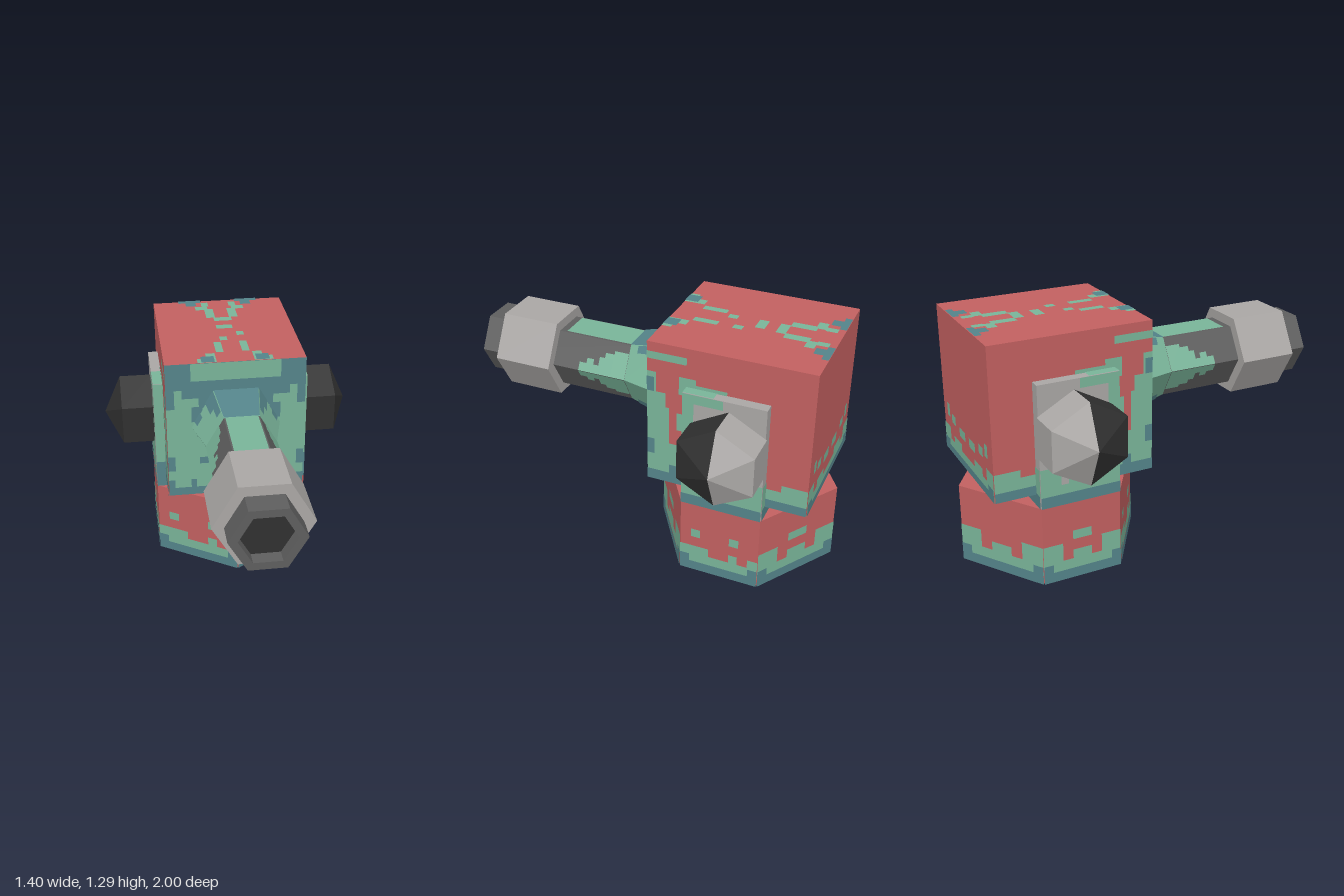
import * as THREE from 'three';

const mat = (name, color) => {
  const m = new THREE.MeshStandardMaterial({ color });
  m.name = name;
  return m;
};
const V = (x, y, z) => new THREE.Vector3(x, y, z);

export function createModel() {
  const root = new THREE.Group();
  root.name = 'turret';
  const red = mat('red paint', 0xc26060), green = mat('green paint', 0x79b499);
  const blue = mat('blue paint', 0x54848a), grey = mat('light metal', 0xaaa7a5);
  const steel = mat('barrel metal', 0x5e5e5e), black = mat('dark metal', 0x303030);
  const slate = mat('underside slate', 0x64687a);

  // Flat-faced mesh
  const add = (name, geo, material) => {
    const g = geo.index ? geo.toNonIndexed() : geo;
    g.computeVertexNormals();
    const mesh = new THREE.Mesh(g, material);
    mesh.name = name;
    root.add(mesh);
    return mesh;
  };

  // Paint patches on a four-cornered face: corners run u0v0, u1v0, u1v1, u0v1;
  // each rect is [u0, v0, u1, v1] in the given range
  const paint = (name, material, c, range, rects, flip = false) => {
    const [ru, rv, su, sv] = range;
    const n = c[1].clone().sub(c[0]).cross(c[3].clone().sub(c[0])).normalize();
    n.multiplyScalar((flip ? -1 : 1) * (material === blue ? 0.005 : 0.003));
    const at = (u, v) => {
      const s = (u - ru) / (su - ru), t = (v - rv) / (sv - rv);
      const low = c[0].clone().lerp(c[1], s), high = c[3].clone().lerp(c[2], s);
      return low.lerp(high, t).add(n);
    };
    const pos = [];
    for (const [a, b, d, e] of rects) {
      const q = [at(a, b), at(d, b), at(d, e), at(a, e)];
      for (const i of flip ? [0, 2, 1, 0, 3, 2] : [0, 1, 2, 0, 2, 3]) pos.push(...q[i].toArray());
    }
    const g = new THREE.BufferGeometry();
    g.setAttribute('position', new THREE.Float32BufferAttribute(pos, 3));
    add(name, g, material);
  };
  const mirror = (rects) => [...rects, ...rects.map(([a, b, c, d]) => [-c, b, -a, d])];

  // Hexagonal base
  const hex = [[0, .495], [.43, .215], [.43, -.215], [0, -.495], [-.43, -.215], [-.43, .215]];
  const hexShape = new THREE.Shape(hex.map(([x, z]) => new THREE.Vector2(x, -z)));
  const baseGeo = new THREE.ExtrudeGeometry(hexShape, { depth: .427, bevelEnabled: false });
  add('base', baseGeo.rotateX(-Math.PI / 2).translate(0, .004, -.505), red);
  add('baseUnderside', new THREE.ShapeGeometry(hexShape).rotateX(Math.PI / 2).translate(0, 0, -.505), slate);
  hex.forEach(([x, z], i) => {
    const [x2, z2] = hex[(i + 1) % 6];
    const c = [V(x, 0, z - .505), V(x2, 0, z2 - .505), V(x2, .43, z2 - .505), V(x, .43, z - .505)];
    const even = i % 2 === 0 || i === 3;
    const rects = even
      ? [[0, .05, 1, .11], [0, .11, .25, .21], [.75, .11, 1, .21], [.38, .11, .62, .16]]
      : [[0, .05, 1, .11], [0, .11, .37, .16], [.63, .11, .74, .16], [.87, .11, 1, .16]];
    if (i !== 3) rects.push(...(even ? [[.38, .22, .62, .27]] : [[.14, .22, .26, .27], [.63, .22, .75, .27]]));
    paint('baseGreenPaint', green, c, [0, 0, 1, .43], rects);
    paint('baseBluePaint', blue, c, [0, 0, 1, .43],
      [[0, 0, 1, .055], [0, .055, .12, .1], [.88, .055, 1, .1]]);
  });

  // Cross block carrying the side caps
  const blockGeo = new THREE.BoxGeometry(.86, .65, .43).translate(0, .755, -.505);
  add('crossBlock', blockGeo, [grey, grey, grey, blue, green, grey]);
  paint('blockFrontBlue', blue, [V(-.43, .43, -.29), V(.43, .43, -.29), V(.43, 1.08, -.29), V(-.43, 1.08, -.29)],
    [-.43, .43, .43, 1.08], [[-.43, .43, .43, .59]]);
  const blockBack = [V(.43, .43, -.72), V(-.43, .43, -.72), V(-.43, 1.08, -.72), V(.43, 1.08, -.72)];
  paint('blockBackGreen', green, blockBack, [-.43, .43, .43, 1.08], [[-.43, .49, .43, .64]]);
  paint('blockBackBlue', blue, blockBack, [-.43, .43, .43, 1.08], [[-.43, .43, .43, .5]]);

  // Main housing
  add('housing', new THREE.BoxGeometry(.75, .8, .855).translate(0, .89, -.5075),
    [red, red, red, blue, blue, red]);
  const front = [V(-.375, .49, -.08), V(.375, .49, -.08), V(.375, 1.29, -.08), V(-.375, 1.29, -.08)];
  const fr = [-.375, .49, .375, 1.29];
  paint('housingFrontGreen', green, front, fr, [[-.24, 1.19, .24, 1.29], [-.375, .59, .375, 1.03],
    ...mirror([[-.33, 1.03, -.2, 1.09], [-.33, 1.09, -.29, 1.14], [-.22, .54, -.13, .59], [-.34, .54, -.25, .59]])]);
  paint('housingFrontBlue', blue, front, fr,
    mirror([[-.375, .65, -.335, .74], [-.2, .69, -.14, .73], [-.24, .95, -.18, 1.04]]));

  const back = [V(.375, .49, -.935), V(-.375, .49, -.935), V(-.375, 1.29, -.935), V(.375, 1.29, -.935)];
  paint('housingBackGreen', green, back, fr, [[-.375, .49, .375, .57],
    ...mirror([[-.375, .57, -.28, .64], [-.22, .57, -.1, .61], [-.24, .68, -.18, .73], [-.12, .65, -.03, .7],
      [-.31, .7, -.27, .77]])]);
  paint('housingBackBlue', blue, back, fr, [[-.375, .49, .375, .53], ...mirror([[-.375, .53, -.3, .56]])]);

  // Top camouflage, v measured as -z
  const top = [V(-.375, 1.29, -.08), V(.375, 1.29, -.08), V(.375, 1.29, -.935), V(-.375, 1.29, -.935)];
  const tr = [-.375, .08, .375, .935];
  paint('housingTopGreen', green, top, tr, [[-.05, .51, .04, .56], [-.05, .62, .05, .67], [.05, .41, .09, .46],
    [-.05, .35, -.01, .4],
    ...mirror([[-.09, .67, -.04, .8], [-.14, .79, -.07, .84], [-.1, .84, -.06, .9], [-.09, .2, -.05, .33],
      [-.15, .13, -.1, .19], [-.2, .08, -.1, .13]])]);
  paint('housingTopBlue', blue, top, tr,
    mirror([[-.23, .9, -.1, .935], [-.19, .85, -.13, .9], [-.18, .08, -.11, .15]]));

  // Both sides: camouflage and faceted caps, u measured as -z
  for (const s of [1, -1]) {
    const flip = s < 0;
    const side = [V(s * .375, .49, -.08), V(s * .375, .49, -.935), V(s * .375, 1.29, -.935), V(s * .375, 1.29, -.08)];
    const sr = [.08, .49, .935, 1.29];
    paint('housingSideGreen', green, side, sr, [[.08, 1.2, .29, 1.24], [.08, .53, .2, .94], [.08, .94, .13, 1.13],
      [.2, .53, .29, .73], [.13, .94, .18, 1.02], [.24, .82, .29, .92], [.25, 1.03, .34, 1.13], [.34, 1.04, .5, 1.1],
      [.29, .49, .8, .6], [.72, .53, .935, .59], [.8, .59, .935, .64]], flip);
    paint('housingSideBlue', blue, side, sr,
      [[.08, .49, .29, .55], [.72, .49, .935, .54], [.08, .65, .12, .74], [.08, 1.02, .12, 1.1], [.2, .55, .25, .6]], flip);

    const plate = [V(s * .43, .43, -.29), V(s * .43, .43, -.72), V(s * .43, 1.08, -.72), V(s * .43, 1.08, -.29)];
    const pr = [.29, .43, .72, 1.08];
    paint('blockSideGreen', green, plate, pr, [[.29, .48, .57, .76], [.57, .48, .61, .54], [.61, .48, .72, .64],
      [.29, .76, .35, 1.08], [.35, 1.03, .5, 1.08]], flip);
    paint('blockSideBlue', blue, plate, pr, [[.29, .43, .72, .49]], flip);
    paint('blockTopGreen', green,
      [V(s * .375, 1.08, -.29), V(s * .43, 1.08, -.29), V(s * .43, 1.08, -.72), V(s * .375, 1.08, -.72)],
      [0, .29, 1, .72], [[0, .29, 1, .45]], flip);

    const profile = [[.215, .43], [.215, .605], [0, .7]].map(p => new THREE.Vector2(...p));
    [[black, -Math.PI / 2, 'capFrontHalf'], [grey, Math.PI / 2, 'capRearHalf']].forEach(([m, start, name]) => {
      const g = new THREE.LatheGeometry(profile, 3, start, Math.PI);
      add(name, g.rotateZ(-s * Math.PI / 2).scale(1, 1, 1.05).translate(0, .812, -.53), m);
    });
  }

  // Hexagonal barrel parts turned about z
  const turned = (name, pts, m) => add(name,
    new THREE.LatheGeometry(pts.map(p => new THREE.Vector2(...p)), 6, Math.PI / 2)
      .rotateX(Math.PI / 2).translate(0, .918, 0), m);
  turned('barrelRoot', [[.24, -.08], [.186, .14]], green);
  turned('barrel', [[.186, .14], [.186, 1], [.14, 1], [.14, .93]], steel);
  turned('boreFloor', [[.14, .93], [0, .93]], black);
  turned('muzzleCollar', [[.186, .56], [.245, .56], [.245, .88], [.186, .88]], grey);

  // Barrel camouflage, facet by facet; v is z
  for (let i = 0; i < 6; i++) {
    const a = i * Math.PI / 3, b = a + Math.PI / 3;
    const p = (r, t, z) => V(r * Math.cos(t), .918 + r * Math.sin(t), z);
    const facet = (r0, z0, r1, z1) => [p(r0, b, z0), p(r0, a, z0), p(r1, a, z1), p(r1, b, z1)];
    const isTop = i === 1, isBottom = i === 4, flipU = i === 0 || i === 3;
    const turn = (rects) => flipU ? rects.map(([u, v, w, x]) => [1 - w, v, 1 - u, x]) : rects;
    const tube = facet(.186, .14, .186, .56), cone = facet(.24, -.08, .186, .14);
    paint('barrelGreen', green, tube, [0, .14, 1, .56], isTop || isBottom ? [[.04, .14, .96, .52]]
      : turn([[.0, .14, .75, .22], [0, .22, .5, .3], [.5, .22, .65, .27], [0, .3, .25, .41], [.25, .33, .4, .37]]), true);
    paint('barrelRootBlue', blue, cone, [0, -.08, 1, .14], isTop || isBottom ? [[0, -.08, 1, .14]]
      : turn([[.65, -.08, 1, .02], [.8, .02, 1, .09], [.15, -.08, .4, -.03]]), true);
  }
  return root;
}
